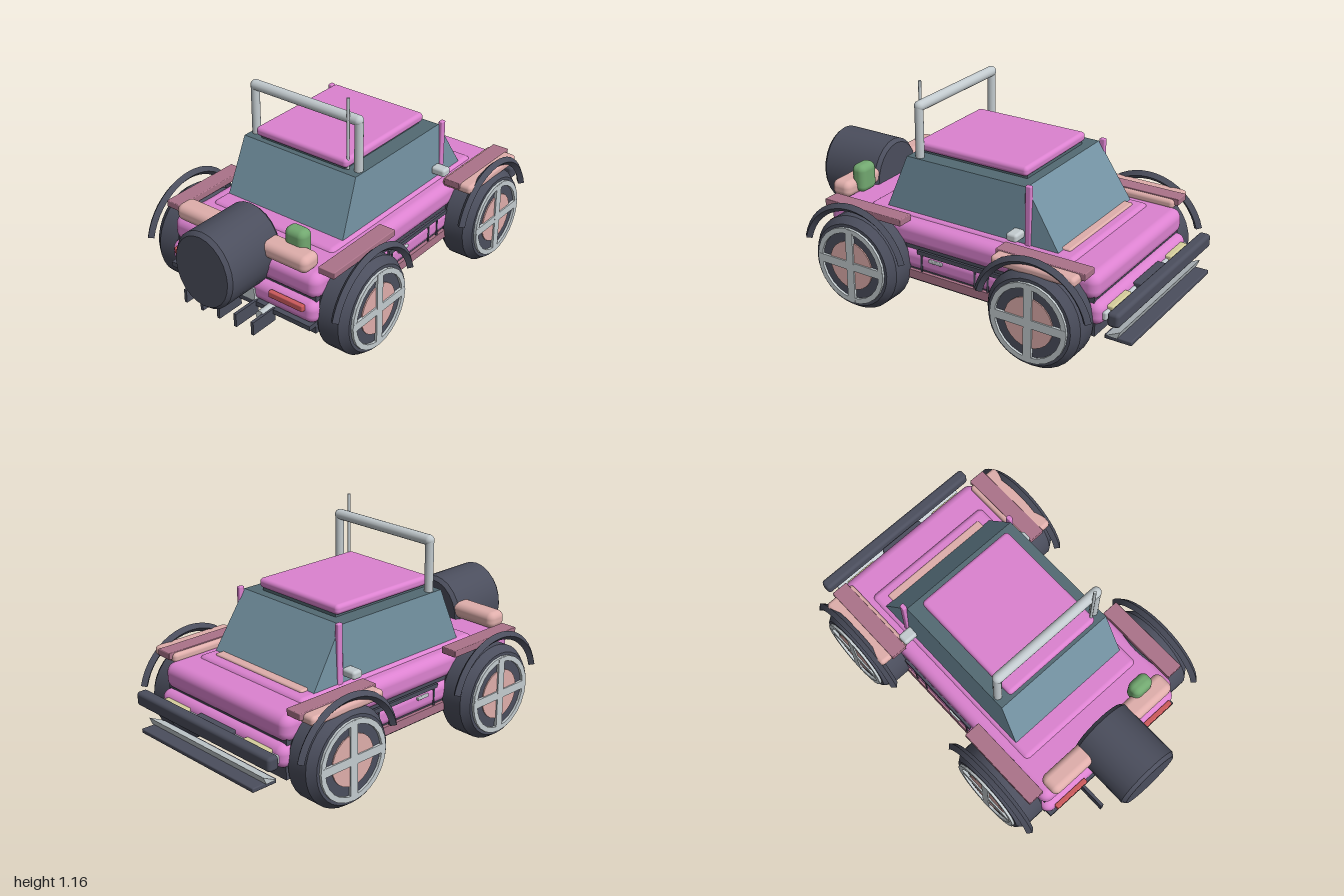
import * as THREE from 'three';
import { RoundedBoxGeometry } from 'three/addons/geometries/RoundedBoxGeometry.js';
import { toCreasedNormals } from 'three/addons/utils/BufferGeometryUtils.js';

const paint = (name, color, opts = {}) => {
  const m = new THREE.MeshStandardMaterial({ color, ...opts });
  m.name = name;
  return m;
};

export function createModel() {
  const pink = paint('pink paint', 0xdc82d0);
  const dark = paint('dark rubber', 0x4b4e5d);
  const glass = paint('window glass', 0x7493a3);
  const tint = paint('dark glass', 0x536a73);
  const silver = paint('silver metal', 0xc3cbcf);
  const peach = paint('peach trim', 0xdfaeab);
  const mauve = paint('mauve trim', 0xab7389);
  const green = paint('green can', 0x72a870);
  const red = paint('red lamp', 0xcc5a5c);
  const yellow = paint('yellow lamp', 0xd6cf9c);

  const car = new THREE.Group();
  car.name = 'offRoadCar';

  const add = (name, geo, mat, x = 0, y = 0, z = 0, parent = car) => {
    const mesh = new THREE.Mesh(geo, mat);
    mesh.name = name;
    mesh.position.set(x, y, z);
    parent.add(mesh);
    return mesh;
  };
  // Boxes given by their limits; r > 0 rounds the edges
  const block = (name, mat, [x0, x1], [y0, y1], [z0, z1], r = 0) => {
    const w = x1 - x0, h = y1 - y0, d = z1 - z0;
    const geo = r ? new RoundedBoxGeometry(w, h, d, 4, r) : new THREE.BoxGeometry(w, h, d);
    return add(name, geo, mat, (x0 + x1) / 2, (y0 + y1) / 2, (z0 + z1) / 2);
  };
  const side = (s, a, b) => (s > 0 ? [a, b] : [-b, -a]);
  // Chamfered drum around the y axis
  const drum = (r, half, cr, ch, seg) => toCreasedNormals(new THREE.LatheGeometry([
    [0, -half], [r - cr, -half], [r, -half + ch], [r, half - ch], [r - cr, half], [0, half],
  ].map(([a, b]) => new THREE.Vector2(a, b)), seg), 0.5);

  // Body shells
  block('lowerBody', pink, [-0.455, 0.455], [0.232, 0.35], [-0.857, 0.755], 0.045);
  block('upperBody', pink, [-0.452, 0.452], [0.35, 0.485], [-0.83, 0.73], 0.05);
  block('deck', pink, [-0.382, 0.382], [0.42, 0.5], [-0.67, 0.52], 0.03);
  block('bodySeam', dark, [-0.435, 0.435], [0.325, 0.375], [-0.81, 0.71]);
  block('underbody', dark, [-0.44, 0.44], [0.175, 0.25], [-0.82, 0.72]);

  // Cabin: a box whose top is drawn in
  const cabin = new THREE.BoxGeometry(0.72, 0.295, 1);
  const p = cabin.attributes.position;
  for (let i = 0; i < p.count; i++) {
    const top = p.getY(i) > 0;
    if (top) p.setX(i, Math.sign(p.getX(i)) * 0.346);
    p.setZ(i, p.getZ(i) > 0 ? (top ? 0.3 : 0.42) : (top ? -0.39 : -0.58));
  }
  cabin.computeVertexNormals();
  add('cabinGlass', cabin, [glass, glass, tint, glass, glass, glass], 0, 0.6375, 0);
  block('roof', pink, [-0.282, 0.282], [0.798, 0.848], [-0.35, 0.29], 0.02);
  block('roofGasket', tint, [-0.26, 0.26], [0.78, 0.81], [-0.34, 0.27]);
  block('cowl', peach, [-0.315, 0.315], [0.485, 0.51], [-0.612, 0.55 - 1.1], 0.01);
  for (const z of [0.29, -0.37]) {
    for (const s of [-1, 1]) block('windowSeam', dark, side(s, 0.345, 0.358), [0.49, 0.51], [z - 0.005, z + 0.005]);
  }

  // Roll bar and aerial
  const bar = add('rollBarTop', new THREE.CapsuleGeometry(0.027, 0.626, 6, 16), silver, 0, 1.048, 0.24);
  bar.rotation.z = Math.PI / 2;
  add('aerial', new THREE.CylinderGeometry(0.008, 0.008, 0.37, 8), dark, 0.273, 0.975, 0.265).material = silver;

  for (const s of [-1, 1]) {
    add('rollBarPost', new THREE.CylinderGeometry(0.022, 0.022, 0.47, 16), silver, s * 0.318, 0.81, 0.24);
    const foot = add('rollBarFoot', new THREE.CylinderGeometry(0.022, 0.01, 0.08, 16), silver, s * 0.325, 0.605, 0.24);
    foot.rotation.z = s * 0.2;
    block('windscreenPillar', pink, side(s, 0.342, 0.366), [0.47, 0.8], [-0.424, -0.392], 0.006);
    block('mirror', silver, side(s, 0.35, 0.432), [0.527, 0.57], [-0.388, -0.328], 0.014);

    // Sills and door details
    block('sill', mauve, side(s, 0.42, 0.458), [0.19, 0.236], [-0.33, 0.24]);
    block('doorRail', dark, side(s, 0.445, 0.458), [0.33, 0.352], [-0.33, 0.17]);
    for (const z of [0.145, -0.17, -0.245]) {
      block('doorSeam', dark, side(s, 0.452, 0.458), [0.24, 0.335], [z - 0.005, z + 0.005]);
    }
    block('doorHandle', silver, side(s, 0.453, 0.466), [0.305, 0.322], [0.02, 0.098], 0.004);

    // Lamps
    block('tailLamp', red, side(s, 0.2, 0.405), [0.308, 0.342], [0.75, 0.776], 0.006);
    block('headLamp', yellow, side(s, 0.21, 0.39), [0.25, 0.325], [-0.885, -0.85], 0.006);

    // Fender tops
    block('frontFenderPad', peach, side(s, 0.412, 0.585), [0.472, 0.522], [-0.785, -0.34], 0.02);
    block('frontFenderTop', mauve, side(s, 0.432, 0.522), [0.492, 0.527], [-0.805, -0.33], 0.004);
    block('rearFenderTop', mauve, side(s, 0.432, 0.522), [0.492, 0.527], [0.22, 0.69], 0.004);

    // Wheels with arches
    for (const z of [0.467, -0.567]) {
      const wheel = new THREE.Group();
      wheel.name = z > 0 ? 'rearWheel' : 'frontWheel';
      wheel.position.set(s * 0.508, 0.25, z);
      car.add(wheel);
      const turn = (g) => g.rotateZ(-s * Math.PI / 2);
      add('tyre', turn(drum(0.25, 0.098, 0.03, 0.04, 32)), dark, 0, 0, 0, wheel);
      add('hubDisc', turn(new THREE.CylinderGeometry(0.13, 0.13, 0.008, 24)), peach, s * 0.1, 0, 0, wheel);
      const ring = new THREE.Shape().absarc(0, 0, 0.205, 0, Math.PI * 2);
      ring.holes.push(new THREE.Path().absarc(0, 0, 0.178, 0, Math.PI * 2));
      const rim = new THREE.ExtrudeGeometry(ring, { depth: 0.018, bevelEnabled: false, curveSegments: 12 });
      add('rim', rim.translate(0, 0, -0.009).rotateY(Math.PI / 2), silver, s * 0.102, 0, 0, wheel);
      add('spoke', new THREE.BoxGeometry(0.018, 0.4, 0.044), silver, s * 0.103, 0, 0, wheel);
      add('spoke', new THREE.BoxGeometry(0.018, 0.044, 0.4), silver, s * 0.1025, 0, 0, wheel);
      const arch = new THREE.TorusGeometry(0.301, 0.022, 4, 20, Math.PI - 0.5).rotateZ(0.25).rotateY(Math.PI / 2);
      add('wheelArch', toCreasedNormals(arch, 0.5), dark, s * 0.074, 0, 0, wheel);
      // Closing faces at both ends of the arch
      for (const a of [0.25, Math.PI - 0.25]) {
        const end = new THREE.CircleGeometry(0.022, 4).rotateX(Math.PI / 2 * (a < 1 ? 1 : -1)).translate(0.301, 0, 0);
        if (a > 1) end.rotateZ(a); else end.rotateZ(a);
        add('archEnd', end.rotateY(Math.PI / 2), dark, s * 0.074, 0, 0, wheel);
      }
    }
  }

  // Rear: spare wheel, shelf, can, plate, skid fins and exhaust
  add('spareWheel', drum(0.203, 0.183, 0.018, 0.02, 24).rotateX(Math.PI / 2).scale(0.865, 1, 1), dark, 0, 0.482, 0.815);
  block('rearShelf', peach, [-0.405, 0.405], [0.488, 0.575], [0.635, 0.75], 0.035);
  block('fuelCan', green, [0.213, 0.333], [0.5, 0.65], [0.595, 0.677], 0.034);
  block('rearPlate', silver, [-0.105, 0.105], [0.24, 0.305], [0.74, 0.765]);
  block('rearRail', dark, [-0.44, 0.44], [0.215, 0.24], [0.72, 0.765]);
  for (let i = -2; i <= 2; i++) {
    const x = i * 0.106;
    block('skidFin', dark, [x - 0.008, x + 0.008], [0.172, 0.243], [0.75, 0.905]);
  }
  add('exhaust', new THREE.CylinderGeometry(0.028, 0.028, 0.16, 16).rotateX(Math.PI / 2), silver, 0.192, 0.222, 0.745);

  // Nose: grille, bumper and low skid blade
  block('grille', silver, [-0.43, 0.43], [0.265, 0.31], [-0.872, -0.84], 0.01);
  block('winch', dark, [-0.13, 0.13], [0.27, 0.33], [-0.9, -0.85], 0.008);
  block('bumper', dark, [-0.497, 0.497], [0.283, 0.356], [-0.968, -0.907], 0.018);
  block('skidBlade', dark, [-0.42, 0.42], [0.17, 0.193], [-1, -0.86], 0.006);
  block('skidEdge', yellow, [-0.41, 0.41], [0.166, 0.174], [-0.9, -0.857]);
  const wedge = new THREE.Shape([[0.87, 0.193], [0.945, 0.23], [0.93, 0.193]].map(([a, b]) => new THREE.Vector2(a, b)));
  const wedgeGeo = new THREE.ExtrudeGeometry(wedge, { depth: 0.86, bevelEnabled: false });
  add('skidWedge', wedgeGeo.translate(0, 0, -0.43).rotateY(Math.PI / 2), silver);
  return car;
}
